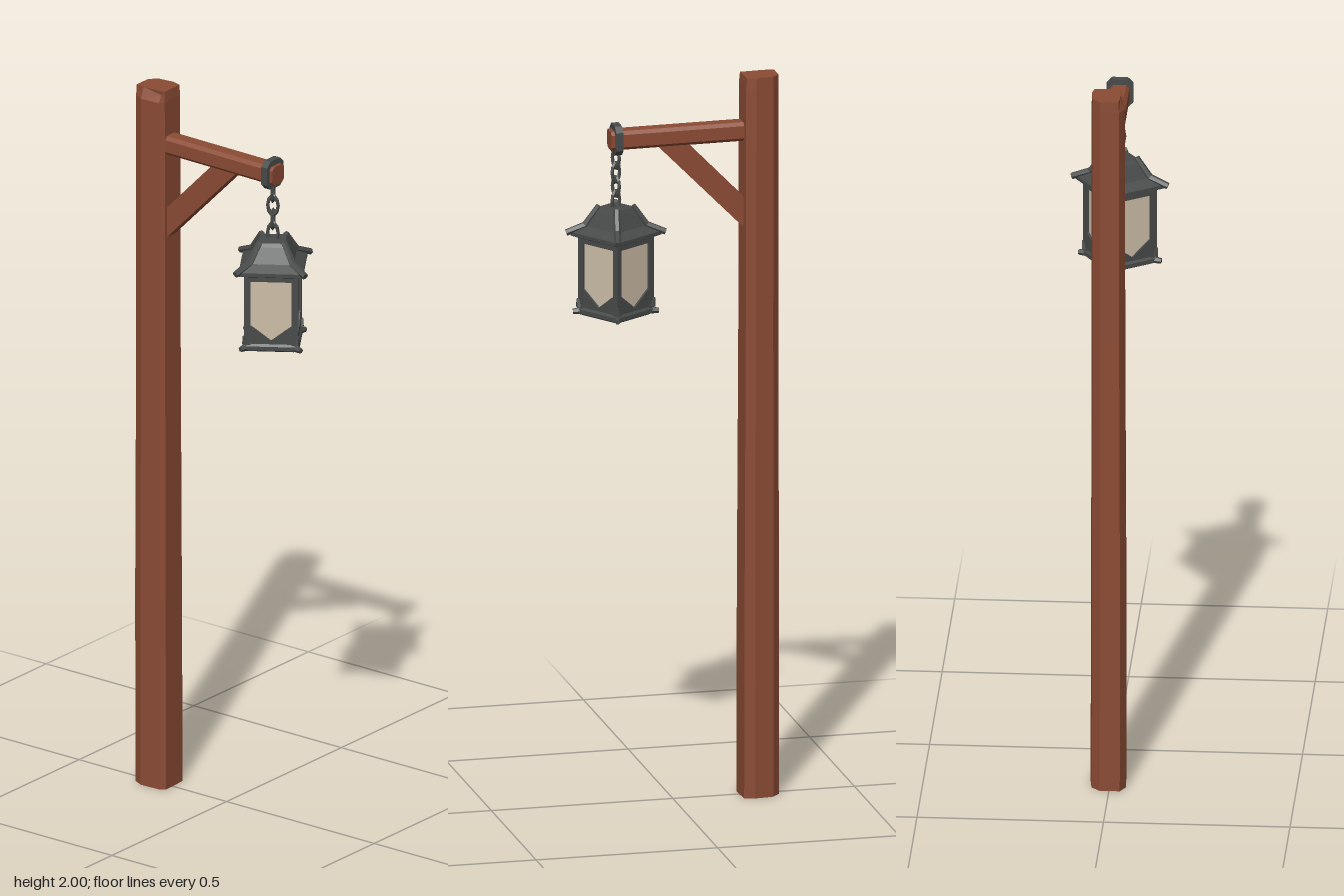
import * as THREE from 'three';

const wood = new THREE.MeshStandardMaterial({ color: 0x8b4b34 });
wood.name = 'brown wood';
const iron = new THREE.MeshStandardMaterial({ color: 0x484a4a });
iron.name = 'dark iron';
const glass = new THREE.MeshStandardMaterial({ color: 0xcdbea8 });
glass.name = 'pale glass';

// Faceted mesh added to a parent
function add(parent, name, geometry, material) {
  const g = geometry.index ? geometry.toNonIndexed() : geometry;
  g.computeVertexNormals();
  const mesh = new THREE.Mesh(g, material);
  mesh.name = name;
  parent.add(mesh);
  return mesh;
}

// Rings of [x, y, z] points joined into a closed solid
function loft(rings) {
  const n = rings[0].length, pos = rings.flat(2), idx = [];
  for (let r = 0; r < rings.length - 1; r++) {
    for (let i = 0; i < n; i++) {
      const a = r * n + i, b = r * n + (i + 1) % n;
      idx.push(a, b, b + n, a, b + n, a + n);
    }
  }
  const top = (rings.length - 1) * n;
  for (let i = 1; i < n - 1; i++) {
    idx.push(0, i + 1, i, top, top + i, top + i + 1);
  }
  const g = new THREE.BufferGeometry();
  g.setAttribute('position', new THREE.Float32BufferAttribute(pos, 3));
  g.setIndex(idx);
  return g;
}

// Tapered bar between two points
function bar(parent, name, from, to, r0, r1, sides = 4) {
  const a = new THREE.Vector3(...from), b = new THREE.Vector3(...to);
  const mesh = add(parent, name, new THREE.CylinderGeometry(r1, r0, a.distanceTo(b), sides), iron);
  mesh.position.copy(a).add(b).multiplyScalar(0.5);
  mesh.quaternion.setFromUnitVectors(new THREE.Vector3(0, 1, 0), b.sub(a).normalize());
  return mesh;
}

function polygon(points) {
  return new THREE.Shape(points.map(([x, y]) => new THREE.Vector2(x, y)));
}

function octagon(w, h, c) {
  return [[w, -h + c], [w, h - c], [w - c, h], [-w + c, h], [-w, h - c], [-w, -h + c], [-w + c, -h], [w - c, -h]];
}

function extrude(points, depth, hole) {
  const shape = polygon(points);
  if (hole) shape.holes.push(polygon(hole));
  return new THREE.ExtrudeGeometry(shape, { depth, bevelEnabled: false });
}

// Four-sided stack; corners lie on the x and z axes
function square(profile) {
  return new THREE.LatheGeometry(profile.map(([r, y]) => new THREE.Vector2(r, y)), 4);
}

export function createModel() {
  const model = new THREE.Group();
  model.name = 'lanternPost';

  // Rough-hewn post with uneven chamfers and a worn top
  const section = [[-0.03, 0.05], [0.043, 0.047], [0.05, 0.02], [0.044, -0.03], [0.022, -0.05],
    [-0.03, -0.05], [-0.044, -0.022], [-0.041, 0.038]];
  const levels = [[0, 1.04, 0.002, -0.234], [0.55, 1.03, 0.001, -0.235], [1.3, 0.98, 0.002, -0.236],
    [1.97, 0.97, 0.002, -0.237], [2, 0.94, 0.003, -0.238]];
  const rings = levels.map(([y, s, cx, cz]) => section.map(([x, z]) => [x * s + cx, y, z * s + cz]));
  rings[4][7][0] += 0.012;
  rings[4][6][0] += 0.01;
  rings[4][7][1] -= 0.012;
  add(model, 'post', loft(rings), wood);

  // Arm and diagonal brace
  const arm = add(model, 'arm', extrude(octagon(0.026, 0.026, 0.009), 0.385), wood);
  arm.position.set(0, 1.846, -0.21);
  arm.rotation.x = 0.008;
  const brace = add(model, 'brace',
    extrude([[-0.05, 1.825], [0.035, 1.825], [0.2, 1.655], [0.2, 1.57]], 0.036), wood);
  brace.rotation.y = Math.PI / 2;
  brace.position.x = -0.018;

  // Iron band round the arm end
  const band = add(model, 'armBand',
    extrude(octagon(0.036, 0.04, 0.015), 0.02, octagon(0.025, 0.025, 0.009)), iron);
  band.position.set(0, 1.844, 0.145);

  // Hanging chain of alternating links
  const chain = new THREE.Group();
  chain.name = 'chain';
  chain.position.z = 0.157;
  model.add(chain);
  for (let i = 0; i < 4; i++) {
    const link = add(chain, 'chainLink', new THREE.TorusGeometry(0.014, 0.0048, 5, 10), iron);
    link.scale.y = 1.75;
    link.position.y = 1.79 - i * 0.039;
    link.rotation.y = 0.5 + (i % 2) * Math.PI / 2;
  }

  // Lantern, turned slightly on its chain
  const lantern = new THREE.Group();
  lantern.name = 'lantern';
  lantern.position.z = 0.157;
  lantern.rotation.y = -0.2;
  model.add(lantern);

  add(lantern, 'roof', square([[0, 1.57], [0.1, 1.57], [0.122, 1.577], [0.122, 1.587], [0.085, 1.604],
    [0.058, 1.645], [0.05, 1.655], [0, 1.657]]), iron);
  add(lantern, 'base', square([[0, 1.354], [0.085, 1.354], [0.106, 1.362], [0.106, 1.373],
    [0.094, 1.382], [0, 1.382]]), iron);
  add(lantern, 'glassBox', square([[0.09, 1.375], [0.09, 1.575]]), glass);

  for (let k = 0; k < 4; k++) {
    // Corner post, roof ridge and corner tips
    const corner = new THREE.Group();
    corner.name = 'lanternCorner';
    corner.rotation.y = k * Math.PI / 2;
    lantern.add(corner);
    bar(corner, 'cornerPost', [0.09, 1.365, 0], [0.09, 1.58, 0], 0.012, 0.012);
    bar(corner, 'upperRidge', [0.045, 1.658, 0], [0.083, 1.604, 0], 0.009, 0.01, 6);
    bar(corner, 'lowerRidge', [0.08, 1.606, 0], [0.133, 1.585, 0], 0.01, 0.009, 6);
    bar(corner, 'baseTip', [0.09, 1.368, 0], [0.115, 1.366, 0], 0.011, 0.007, 6);
    bar(corner, 'baseStud', [0.097, 1.38, 0], [0.102, 1.402, 0], 0.01, 0.004, 5);

    // Frame of one side: rails and two gussets leaving a pointed pane
    const side = new THREE.Group();
    side.name = 'lanternSide';
    side.rotation.y = k * Math.PI / 2 + Math.PI / 4;
    lantern.add(side);
    const rail = add(side, 'topRail', new THREE.BoxGeometry(0.126, 0.018, 0.012), iron);
    rail.position.set(0, 1.566, 0.064);
    for (const s of [-1, 1]) {
      const points = [[0, 1.378], [s * 0.063, 1.378], [s * 0.063, 1.435], [s * 0.048, 1.425], [0, 1.388]];
      const gusset = add(side, 'gusset', extrude(points, 0.007), iron);
      gusset.position.z = 0.0625;
    }
  }
  return model;
}
